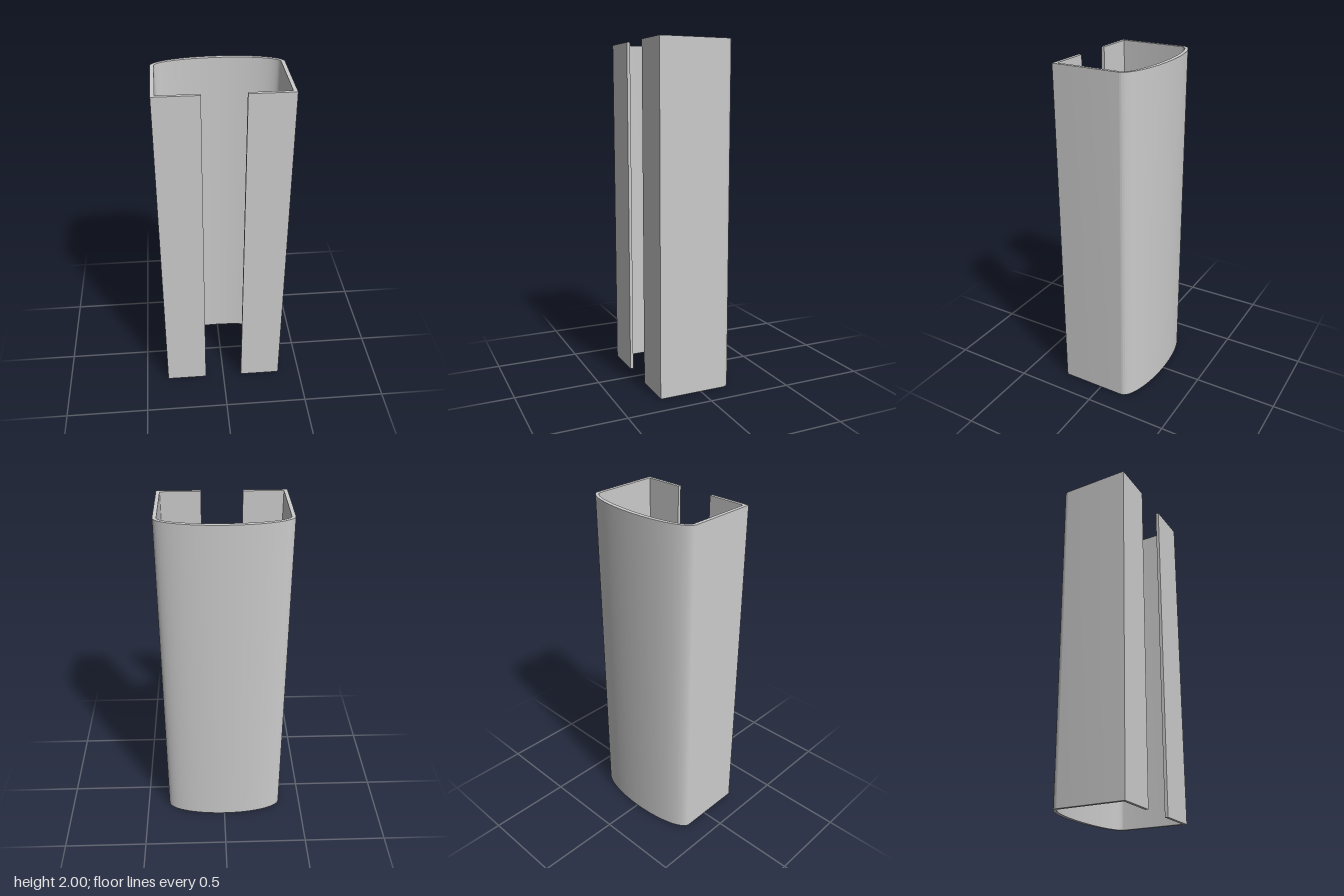
import * as THREE from 'three';
import { toCreasedNormals } from 'three/addons/utils/BufferGeometryUtils.js';

const HEIGHT = 2;
const OUTER = 0.363, INNER = 0.342;          // half widths of the side walls
const SPRING = 0.145;                        // where the curved back begins
const RISE_OUT = 0.108, RISE_IN = 0.084;     // bulge of the curved back
const FRONT = -0.252, FRONT_IN = -0.233;     // faces of the front lips
const SLOT = 0.116;                          // half width of the front opening

// Cross-section seen from above, with the back towards +y
function channelProfile() {
  const s = new THREE.Shape();
  s.moveTo(SLOT, FRONT);
  s.lineTo(OUTER, FRONT);
  s.lineTo(OUTER, SPRING);
  s.absellipse(0, SPRING, OUTER, RISE_OUT, 0, Math.PI, false);
  s.lineTo(-OUTER, FRONT);
  s.lineTo(-SLOT, FRONT);
  s.lineTo(-SLOT, FRONT_IN);
  s.lineTo(-INNER, FRONT_IN);
  s.lineTo(-INNER, SPRING);
  s.absellipse(0, SPRING, INNER, RISE_IN, Math.PI, 0, true);
  s.lineTo(INNER, FRONT_IN);
  s.lineTo(SLOT, FRONT_IN);
  s.closePath();
  return s;
}

export function createModel() {
  const group = new THREE.Group();
  group.name = 'slottedChannel';

  // Upright extrusion: smooth curved back, crisp corners
  const geometry = new THREE.ExtrudeGeometry(channelProfile(), {
    depth: HEIGHT, bevelEnabled: false, curveSegments: 64,
  });
  geometry.rotateX(-Math.PI / 2);

  const channel = new THREE.Mesh(
    toCreasedNormals(geometry, Math.PI / 6),
    new THREE.MeshStandardMaterial({ color: 0xcccccc }),
  );
  channel.name = 'channelWall';
  group.add(channel);
  return group;
}
